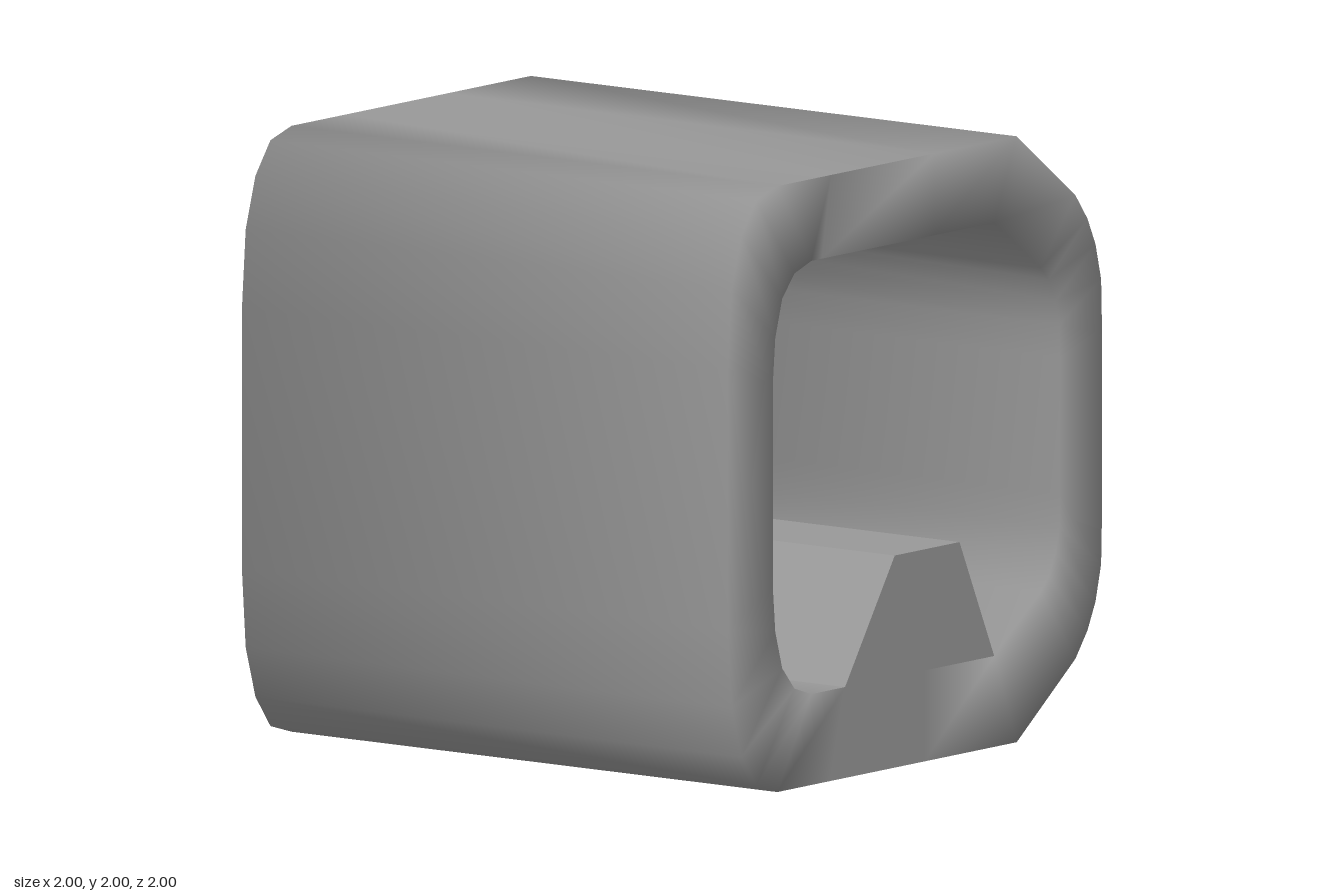
import * as THREE from 'three';

// Wall section pieces: outer x, outer y, inner x, inner y, crisp front rim, crisp back rim
const RIGHT = [
  [0.995, 1.29, 0.77, 1.24],
  [0.99, 1.47, 0.768, 1.35],
  [0.96, 1.59, 0.747, 1.43],
  [0.917, 1.68, 0.71, 1.505],
  [0.853, 1.765, 0.667, 1.55],
  [0.54, 2, 0.42, 1.73],
];
const TOP = [
  [0.1, 2, 0.1, 1.73, false, true],
  [-0.45, 2, -0.5, 1.73, true, true],
];
const LEFT = [
  [-0.736, 2, -0.555, 1.73],
  [-0.848, 1.967, -0.645, 1.7],
  [-0.928, 1.86, -0.71, 1.625],
  [-0.98, 1.69, -0.747, 1.5],
  [-1, 1.43, -0.76, 1.35],
];
const BOTTOM = [
  [-0.45, 0, -0.375, 0.3, true, true],
  [0.05, 0, 0.05, 0.3, true, true],
];

const mirrorDown = (piece) =>
  piece.map(([ox, oy, ix, iy]) => [ox, 2 - oy, ix, 2.03 - iy]).reverse();

// Averaged sideways normal at point i of a counterclockwise loop
function loopNormal(loop, i) {
  const n = loop.length;
  const edge = (p, q) => new THREE.Vector3(q[1] - p[1], p[0] - q[0], 0).normalize();
  return edge(loop[(i + n - 1) % n], loop[i]).add(edge(loop[i], loop[(i + 1) % n])).normalize();
}

// Closed tunnel wall: faces are outer, back rim, inner and front rim,
// with normals blended evenly over the rim edges unless marked crisp
function tunnelGeometry() {
  const section = [...RIGHT, ...TOP, ...LEFT, ...mirrorDown(LEFT), ...BOTTOM, ...mirrorDown(RIGHT)];
  const outer = section.map(([x, y]) => [x, y]);
  const inner = section.map(([, , x, y]) => [x, y]);
  const positions = [], normals = [], index = [];
  section.forEach(([ox, oy, ix, iy, crispFront, crispBack], i) => {
    const corners = [[ox, oy, 1], [ox, oy, -1], [ix, iy, -1], [ix, iy, 1]];
    const crisp = [crispFront, crispBack, crispBack, crispFront];
    const faces = [
      loopNormal(outer, i),
      new THREE.Vector3(0, 0, -1),
      loopNormal(inner, i).negate(),
      new THREE.Vector3(0, 0, 1),
    ];
    const next = (i + 1) % section.length;
    for (let j = 0; j < 4; j++) {
      for (const c of [j, (j + 1) % 4]) {
        const normal = crisp[c] ? faces[j] : faces[c].clone().add(faces[(c + 3) % 4]).normalize();
        positions.push(...corners[c]);
        normals.push(...normal.toArray());
      }
      const a = 8 * i + 2 * j, d = 8 * next + 2 * j;
      index.push(a, a + 1, d, a + 1, d + 1, d);
    }
  });
  const geometry = new THREE.BufferGeometry();
  geometry.setAttribute('position', new THREE.Float32BufferAttribute(positions, 3));
  geometry.setAttribute('normal', new THREE.Float32BufferAttribute(normals, 3));
  geometry.setIndex(index);
  return geometry;
}

// Faceted ridge running along the floor
function ridgeGeometry() {
  const shape = new THREE.Shape([
    new THREE.Vector2(-0.375, 0.3),
    new THREE.Vector2(0.42, 0.3),
    new THREE.Vector2(0.235, 0.7),
    new THREE.Vector2(-0.11, 0.7),
  ]);
  return new THREE.ExtrudeGeometry(shape, { depth: 2, bevelEnabled: false }).translate(0, 0, -1);
}

export function createModel() {
  const group = new THREE.Group();
  group.name = 'ridgedTunnel';
  const add = (name, geometry, flatShading) => {
    const material = new THREE.MeshStandardMaterial({ color: 0x999999, flatShading });
    const mesh = new THREE.Mesh(geometry, material);
    mesh.name = name;
    group.add(mesh);
  };
  add('tunnelWall', tunnelGeometry(), false);
  add('floorRidge', ridgeGeometry(), true);
  return group;
}
